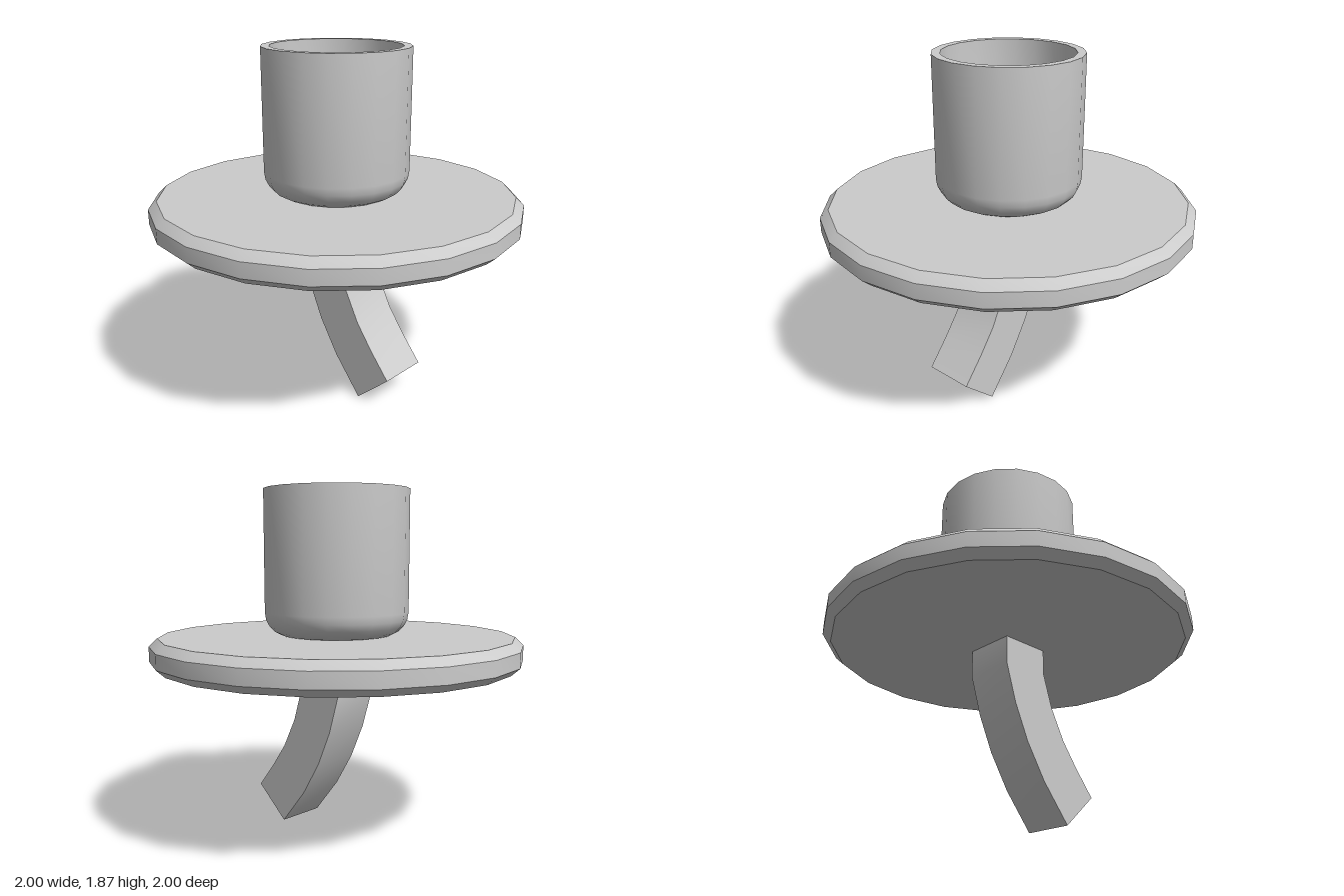
import * as THREE from 'three';
import { toCreasedNormals } from 'three/addons/utils/BufferGeometryUtils.js';

const SIDES = 20;
const material = new THREE.MeshStandardMaterial({ color: 0xcccccc });

function part(name, geometry) {
  const mesh = new THREE.Mesh(toCreasedNormals(geometry, THREE.MathUtils.degToRad(35)), material);
  mesh.name = name;
  return mesh;
}

const lathe = (points) => new THREE.LatheGeometry(points, SIDES);

// Quarter-round corner from the floor up to the wall of radius r
function fillet(r, floor, radius, steps = 5) {
  return Array.from({ length: steps + 1 }, (_, i) => {
    const a = (i / steps) * Math.PI / 2;
    return new THREE.Vector2(r - radius + radius * Math.sin(a), floor + radius - radius * Math.cos(a));
  });
}

export function createModel() {
  const model = new THREE.Group();
  model.name = 'cupOnDisc';
  const v = (x, y) => new THREE.Vector2(x, y);

  // Flat disc with chamfered rim
  model.add(part('disc', lathe([
    v(0, 0.93), v(0.955, 0.93), v(1, 0.97), v(1, 1.05), v(0.955, 1.093), v(0, 1.093),
  ])));

  // Hollow cup with rounded base: outside upward, then inside downward
  const rim = 1.87;
  model.add(part('cup', lathe([
    v(0, 1.09), ...fillet(0.39, 1.09, 0.13), v(0.39, rim),
    v(0.345, rim), ...fillet(0.345, 1.135, 0.085).reverse(), v(0, 1.135),
  ])));

  // Square stem, bending forward towards its lower end (profile in z, y)
  const profile = new THREE.Shape([
    v(-0.137, 0.95), v(-0.137, 0.78), v(-0.075, 0.575), v(0.01, 0.385), v(0.125, 0.2), v(0.29, 0),
    v(0.49, 0.175), v(0.375, 0.315), v(0.28, 0.445), v(0.195, 0.61), v(0.138, 0.79), v(0.138, 0.95),
  ]);
  const width = 0.274;
  const stem = new THREE.ExtrudeGeometry(profile, { depth: width, bevelEnabled: false });
  stem.translate(0, 0, -width / 2).rotateY(-Math.PI / 2);
  model.add(part('stem', stem));

  return model;
}
